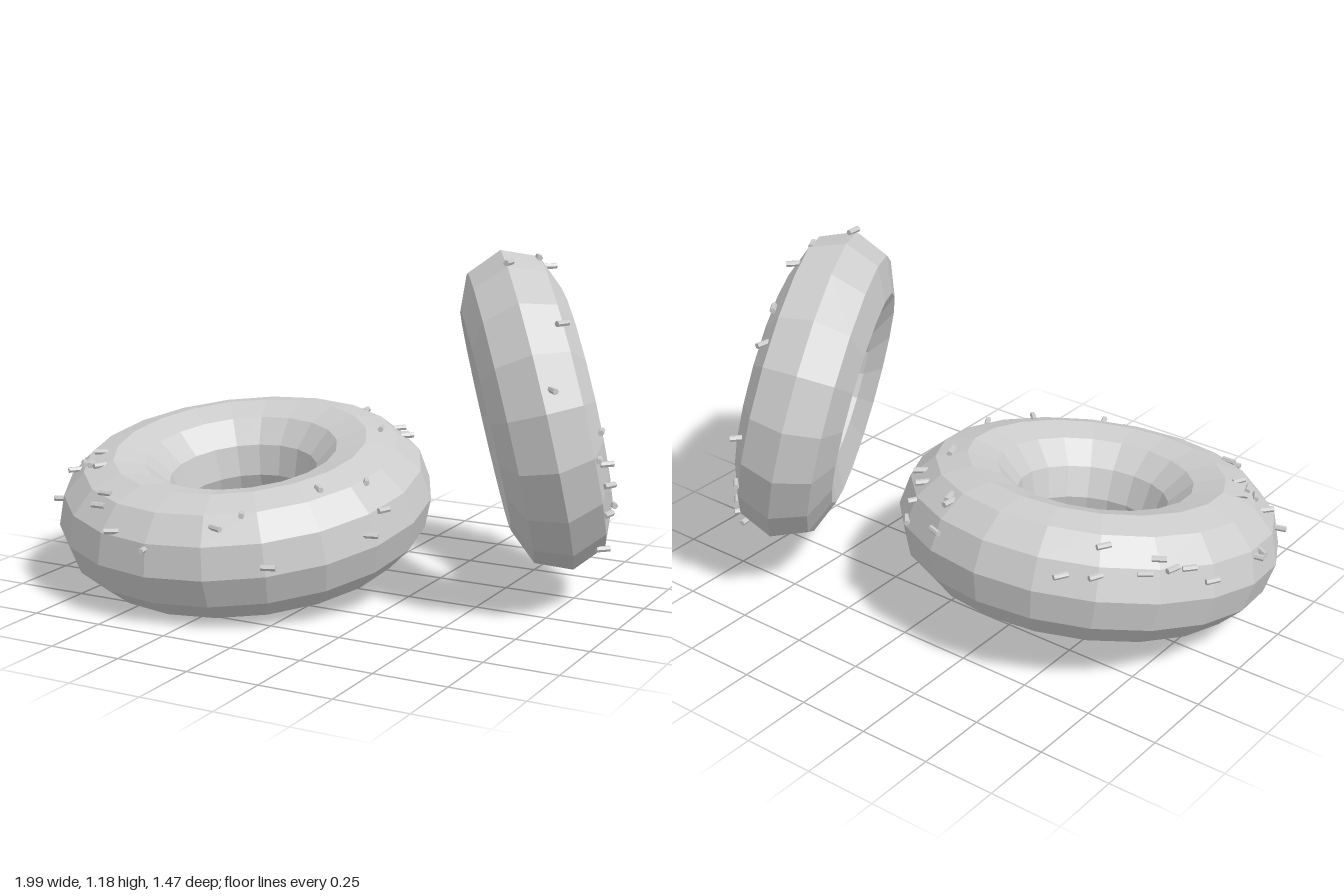
import * as THREE from 'three';

const grey = new THREE.MeshStandardMaterial({ color: 0xcccccc, flatShading: true });
grey.name = 'plain grey';

// A ring whose hole runs along local +z, with a ring vertex at local +y
function makeDonut(name, R, r, sides, segments, center, axis) {
  const group = new THREE.Group();
  group.name = name;
  const geometry = new THREE.TorusGeometry(R, r, sides, segments).rotateZ(Math.PI / 2);
  const ring = new THREE.Mesh(geometry, grey);
  ring.name = name + 'Ring';
  group.add(ring);
  group.position.set(...center);
  group.lookAt(new THREE.Vector3(...center).add(new THREE.Vector3(...axis)));
  group.updateMatrixWorld(true);
  group.userData = { R, r };
  return group;
}

// March from a start point along dir to the ring surface (or its closest approach)
function dropOnto(donut, start, dir) {
  const { R, r } = donut.userData;
  const p = start.clone(), best = start.clone();
  let bestDistance = Infinity;
  for (let i = 0; i < 80; i++) {
    const q = donut.worldToLocal(p.clone());
    const d = Math.hypot(Math.hypot(q.x, q.y) - R, q.z) - r;
    if (d < bestDistance) {
      bestDistance = d;
      best.copy(p);
    }
    if (d < 0.001) break;
    p.addScaledVector(dir, Math.max(d * 0.9, 0.004));
  }
  return best;
}

// Sprinkles are short level rods, turned about the vertical
const rod = new THREE.CylinderGeometry(0.01, 0.01, 0.048, 6).rotateZ(Math.PI / 2);
function addSprinkle(group, position, yaw) {
  const sprinkle = new THREE.Mesh(rod, grey);
  sprinkle.name = 'sprinkle';
  sprinkle.position.copy(position);
  sprinkle.rotation.y = yaw;
  group.add(sprinkle);
}

export function createModel() {
  const model = new THREE.Group();
  model.name = 'twoDonuts';

  // Fat donut lying down, tipped towards the front
  const tilt = THREE.MathUtils.degToRad(10);
  const lying = makeDonut('lyingDonut', 0.438, 0.21, 12, 20,
    [-0.345, 0.287, 0.075], [0, Math.cos(tilt), Math.sin(tilt)]);

  // Thinner donut standing on edge
  const standing = makeDonut('standingDonut', 0.38, 0.17, 8, 18,
    [0.6, 0.645, -0.235], [0.858, 0.228, -0.465]);
  model.add(lying, standing);

  const lyingSprinkles = new THREE.Group();
  lyingSprinkles.name = 'lyingDonutSprinkles';
  // x, z, yaw in degrees
  [
    [-0.71, -0.42, 65], [-0.62, -0.48, 60], [-0.69, -0.35, 60], [-0.82, -0.31, 40],
    [-0.87, -0.23, 75], [-0.83, -0.25, 35], [-0.90, -0.18, 50], [-0.95, -0.12, 60],
    [-0.975, 0.11, 10], [-0.97, 0.15, -30], [-0.80, 0.29, 30], [-0.87, 0.35, 50],
    [-0.82, 0.36, -60], [-0.78, 0.38, -70], [-0.73, 0.40, 65], [-0.89, 0.41, 15],
    [-0.59, 0.57, 0], [-0.59, 0.61, 5], [-0.49, 0.68, 30], [-0.345, 0.71, -80],
    [-0.125, 0.63, -20], [-0.065, 0.565, -65], [0.045, 0.59, 20], [0.095, 0.35, -45],
    [0.195, 0.21, -60], [0.265, 0.22, 70], [0.26, 0.30, 15], [0.055, -0.17, -70],
    [0.10, -0.28, 40], [0.035, -0.35, 50], [0.02, -0.41, 60], [0.03, -0.44, -50],
    [-0.15, -0.44, 85], [-0.135, -0.42, -75], [-0.145, -0.51, -20],
  ].forEach(([x, z, yaw]) => addSprinkle(lyingSprinkles,
    dropOnto(lying, new THREE.Vector3(x, 1, z), new THREE.Vector3(0, -1, 0)),
    THREE.MathUtils.degToRad(yaw)));

  const standingSprinkles = new THREE.Group();
  standingSprinkles.name = 'standingDonutSprinkles';
  // z, y
  [
    [-0.035, 1.16], [-0.21, 1.16], [-0.305, 1.12], [-0.49, 1.045], [-0.59, 0.965],
    [0.075, 0.995], [0.225, 0.81], [-0.70, 0.655], [0.04, 0.655], [0.11, 0.58],
    [0.05, 0.555], [-0.71, 0.485], [0.02, 0.48], [0.0, 0.38], [-0.11, 0.385],
    [-0.13, 0.225], [-0.40, 0.20], [-0.395, 0.17], [-0.435, 0.145], [-0.57, 0.31],
    [-0.56, 0.265], [-0.58, 0.25],
  ].forEach(([z, y], i) => addSprinkle(standingSprinkles,
    dropOnto(standing, new THREE.Vector3(1.4, y, z), new THREE.Vector3(-1, 0, 0)),
    Math.PI / 2 + 0.8 * Math.sin(i * 2.4)));

  model.add(lyingSprinkles, standingSprinkles);
  return model;
}
